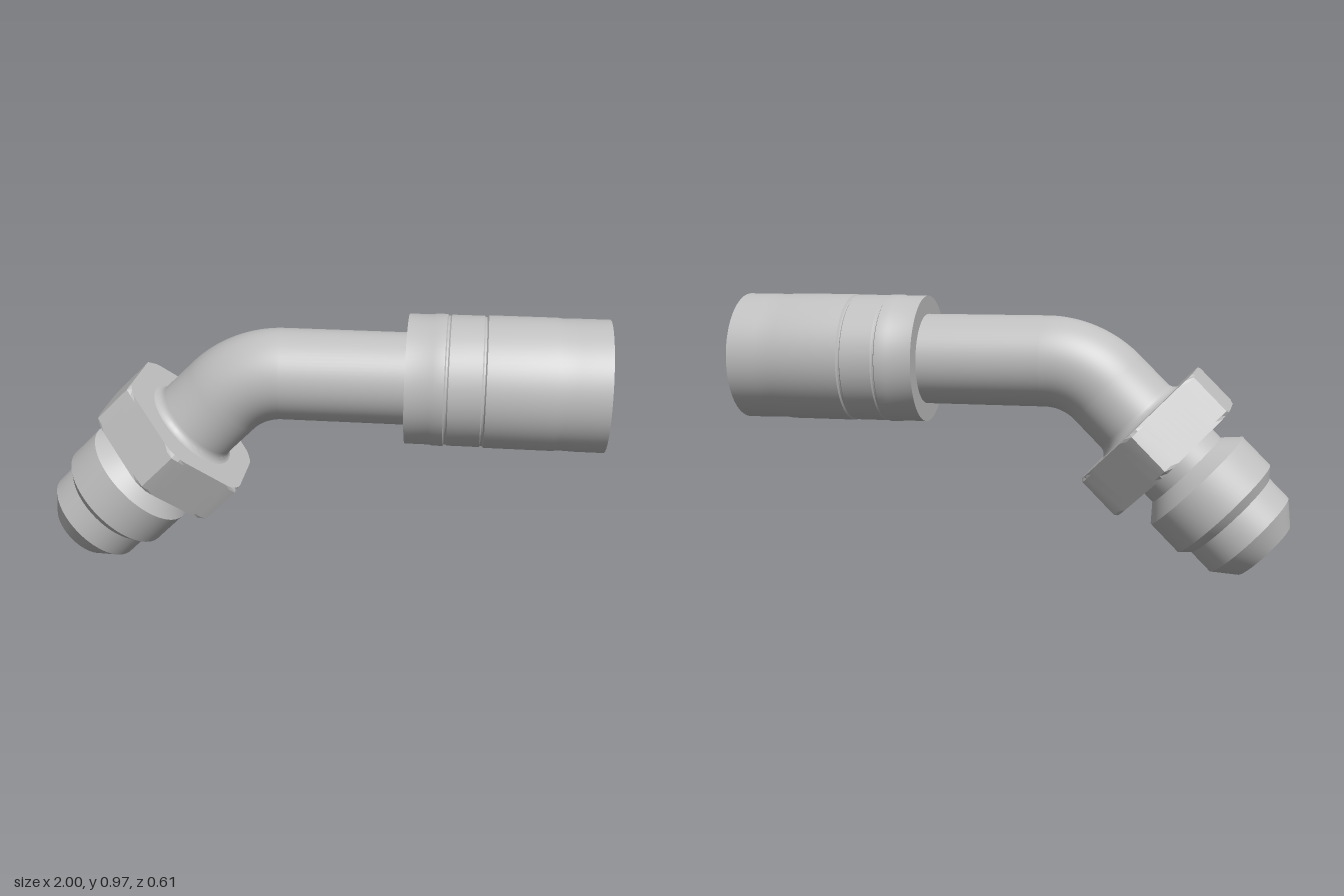
import * as THREE from 'three';
import { toCreasedNormals } from 'three/addons/utils/BufferGeometryUtils.js';

const AXIS_Y = 0.742;   // height of the straight tube
const ELBOW_X = -0.26;  // where the two axes meet
const TUBE_R = 0.163, BORE_R = 0.112;
const BEND_R = 0.314, BEND_LEN = BEND_R * Math.tan(Math.PI / 8);

export function createModel() {
  const model = new THREE.Group();
  const steel = new THREE.MeshStandardMaterial({ color: 0xc0c0c0, side: THREE.DoubleSide });
  steel.name = 'steel grey';

  const add = (parent, name, geometry) => {
    const mesh = new THREE.Mesh(geometry, steel);
    mesh.name = name;
    parent.add(mesh);
    return mesh;
  };
  // Profile points are [radius, distance along the axis]
  const turn = (profile, segments = 72) =>
    new THREE.LatheGeometry(profile.map(([r, s]) => new THREE.Vector2(r, s)), segments);
  const turned = (parent, name, profile) =>
    add(parent, name, toCreasedNormals(turn(profile), 0.4));

  // Straight arm runs towards +x, angled arm runs down at 45 degrees
  const straight = new THREE.Group();
  straight.name = 'straightArm';
  straight.position.set(0, AXIS_Y, 0);
  straight.rotation.z = -Math.PI / 2;
  const angled = new THREE.Group();
  angled.name = 'angledArm';
  angled.position.set(ELBOW_X, AXIS_Y, 0);
  angled.rotation.z = Math.PI * 3 / 4;
  model.add(straight, angled);

  // Bend: outer wall and bore
  const bendX = ELBOW_X + BEND_LEN;
  for (const [name, r] of [['bendOuter', TUBE_R], ['bendBore', BORE_R]]) {
    const bend = new THREE.TorusGeometry(BEND_R, r, 72, 24, Math.PI / 4);
    bend.rotateZ(Math.PI / 2);
    add(model, name, bend).position.set(bendX, AXIS_Y - BEND_R, 0);
  }

  // Straight tube and the hose nipple with its rounded lip
  turned(straight, 'tube', [[TUBE_R, bendX], [TUBE_R, 0.33]]);
  const lip = [];
  for (let i = 0; i <= 10; i++) {
    const a = Math.PI * i / 10;
    lip.push([0.13 + 0.018 * Math.cos(a), 0.97 + 0.018 * Math.sin(a)]);
  }
  turned(straight, 'nipple', [[0.148, 0.8], ...lip, [BORE_R, bendX]]);

  // Crimped ferrule with grooves and an open, slightly flared mouth
  turned(straight, 'ferrule', [
    [0.15, 0.31], [0.229, 0.31], [0.229, 0.395], [0.232, 0.405], [0.232, 0.443],
    [0.226, 0.447], [0.226, 0.453], [0.23, 0.458], [0.23, 0.57],
    [0.226, 0.574], [0.226, 0.58], [0.232, 0.585], [0.232, 0.82],
    [0.229, 0.845], [0.231, 0.9], [0.231, 1.0], [0.226, 1.0],
    [0.209, 0.82], [0.14, 0.82],
  ]);

  // Neck with a fillet into the nut
  const fillet = [];
  for (let i = 0; i <= 6; i++) {
    const a = Math.PI / 2 * i / 6;
    fillet.push([TUBE_R + 0.035 * (1 - Math.cos(a)), 0.265 + 0.035 * Math.sin(a)]);
  }
  turned(angled, 'neck', [[TUBE_R, BEND_LEN], ...fillet]);

  // Hex nut: a turned blank cut back to six flats, leaving chamfered corners
  const nut = turn([
    [0.15, 0.297], [0.292, 0.297], [0.307, 0.308],
    [0.307, 0.466], [0.292, 0.477], [0.15, 0.477],
  ]);
  const p = nut.attributes.position;
  for (let i = 0; i < p.count; i++) {
    const x = p.getX(i), z = p.getZ(i), r = Math.hypot(x, z);
    const sector = Math.PI / 3;
    const phi = ((Math.atan2(x, z) + Math.PI * 2 + 1e-6) % sector) - sector / 2;
    const k = Math.min(r, 0.268 / Math.cos(phi)) / r;
    p.setX(i, x * k);
    p.setZ(i, z * k);
  }
  add(angled, 'hexNut', toCreasedNormals(nut, 0.15));

  // Threaded end: undercut, shoulder, nose cone and through bore
  turned(angled, 'endFitting', [
    [0.165, 0.47], [0.165, 0.53], [0.223, 0.582], [0.223, 0.718],
    [0.189, 0.75], [0.189, 0.845], [0.126, 0.921], [BORE_R, 0.921], [BORE_R, BEND_LEN],
  ]);

  return model;
}
